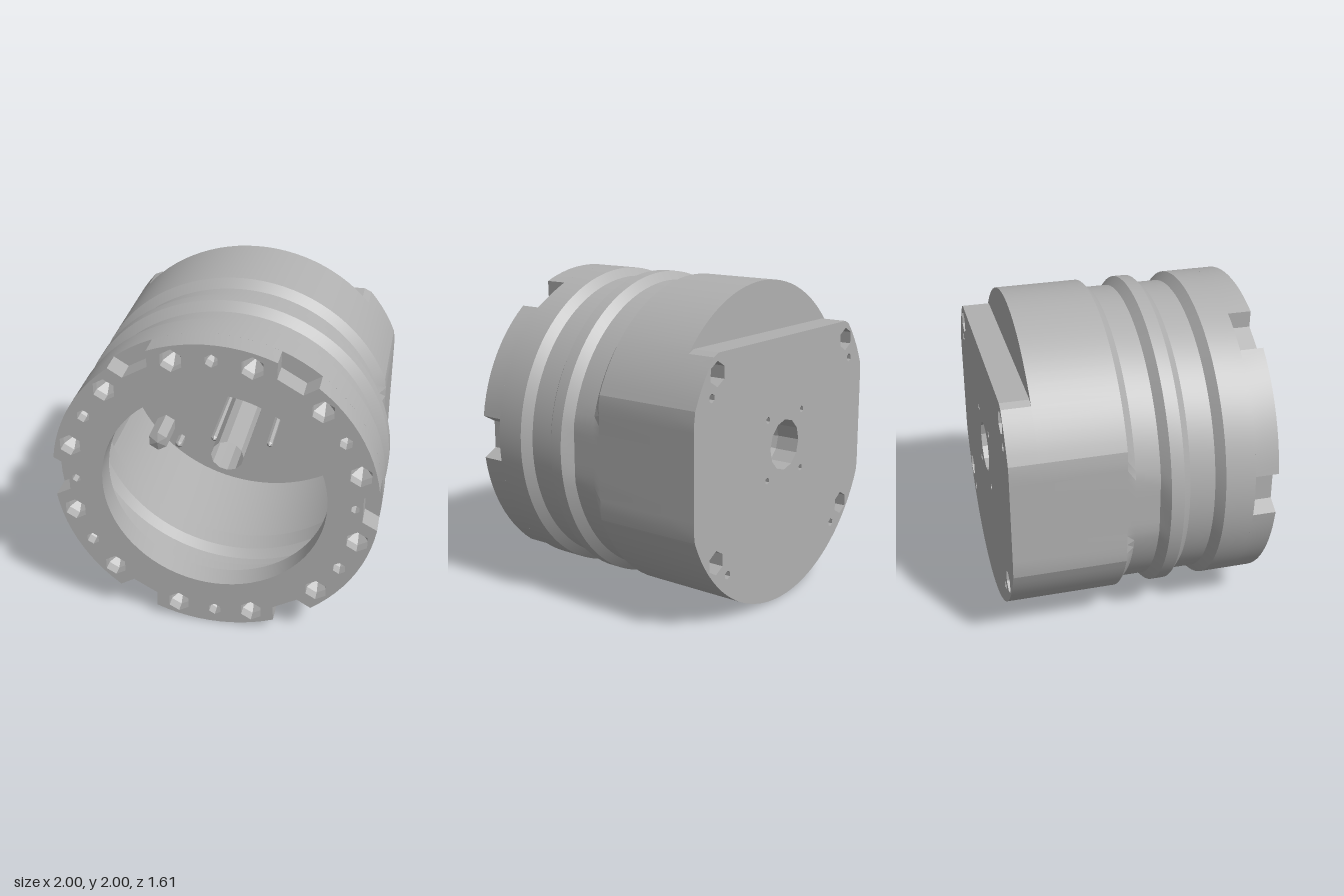
import * as THREE from 'three';
import { toCreasedNormals } from 'three/addons/utils/BufferGeometryUtils.js';

const FLAT_X = 0.933, FLAT_TOP = 0.68, BACK = -0.805, FRONT = 0.805, RIM_BACK = 0.66;
const rad = (d) => (d * Math.PI) / 180;
const polar = (r, d) => new THREE.Vector2(r * Math.cos(rad(d)), r * Math.sin(rad(d)));

// Regular polygon path, used to cut holes
function polygon(c, r, n) {
  const pts = [];
  for (let k = 0; k < n; k++) {
    const p = polar(r, 90 - (360 * k) / n);
    pts.push(new THREE.Vector2(c.x + p.x, c.y + p.y));
  }
  return new THREE.Path(pts);
}

// Body cross-section: a circle trimmed by the side flats and the top flat
function section(r, flatX, flatY, n = 96) {
  const pts = [];
  for (let i = 0; i < n; i++) {
    const p = polar(r, (360 * i) / n);
    pts.push(new THREE.Vector2(
      THREE.MathUtils.clamp(p.x, -flatX, flatX), Math.min(p.y, flatY)));
  }
  return pts;
}

export function createModel() {
  const metal = new THREE.MeshStandardMaterial({ color: 0xb0b0b0, side: THREE.DoubleSide });
  metal.name = 'grey metal';
  const model = new THREE.Group();
  model.name = 'housing';
  const body = new THREE.Group();
  body.name = 'body';
  body.position.y = 1;
  model.add(body);

  function add(name, geometry, x = 0, y = 0, z = 0) {
    const mesh = new THREE.Mesh(toCreasedNormals(geometry, 0.25), metal);
    mesh.name = name;
    mesh.position.set(x, y, z);
    body.add(mesh);
    return mesh;
  }

  // Grooved shell: rows of [z, radius, side flat, top flat]
  const rows = [
    [RIM_BACK, 1, 2, 2], [0.475, 1, 2, 2], [0.425, 0.948, 2, 2], [0.27, 0.948, 2, 2],
    [0.22, 1, 2, 2], [0.14, 1, 2, 2], [0.09, 0.948, FLAT_X, 2], [-0.06, 0.948, FLAT_X, 2],
    [-0.11, 1, FLAT_X, 2], [-0.63, 1, FLAT_X, 2], [-0.63, 1, FLAT_X, FLAT_TOP],
    [BACK, 1, FLAT_X, FLAT_TOP],
  ];
  const n = 96, positions = [], index = [];
  rows.forEach(([z, r, fx, fy]) => section(r, fx, fy, n).forEach((p) => positions.push(p.x, p.y, z)));
  for (let i = 0; i < rows.length - 1; i++) {
    for (let j = 0; j < n; j++) {
      const a = i * n + j, b = i * n + ((j + 1) % n), c = a + n, d = b + n;
      index.push(a, c, b, b, c, d);
    }
  }
  const shell = new THREE.BufferGeometry();
  shell.setAttribute('position', new THREE.Float32BufferAttribute(positions, 3));
  shell.setIndex(index);
  add('groovedShell', shell);

  // Front rim with six notches, the bore and two sizes of hole
  const outline = [];
  for (let k = 0; k < 6; k++) {
    const a = k * 60;
    outline.push(polar(0.905, a - 5.5), polar(0.905, a + 5.5));
    for (let s = 0; s <= 11; s++) outline.push(polar(1, a + 7.8 + (44.4 * s) / 11));
  }
  const rim = new THREE.Shape(outline);
  rim.holes.push(polygon(new THREE.Vector2(), 0.69, 72));
  const holes = [];
  for (let k = 0; k < 12; k++) holes.push([polar(0.908, 15 + 30 * k), 0.072]);
  for (const d of [30, 90, 150, 210, 270, 330]) holes.push([polar(0.9, d), 0.042]);
  for (const d of [0, 180]) holes.push([polar(0.855, d), 0.028]);
  holes.forEach(([c, r]) => rim.holes.push(polygon(c, r, 6)));
  add('frontRim', new THREE.ExtrudeGeometry(rim, { depth: FRONT - RIM_BACK, bevelEnabled: false }),
    0, 0, RIM_BACK);
  add('notchFloor', new THREE.RingGeometry(0.82, 1, 96), 0, 0, RIM_BACK);

  // Pointed bottoms of the rim holes
  holes.forEach(([c, r]) => {
    const cone = new THREE.ConeGeometry(r, 0.07, 6, 1, true).rotateX(-Math.PI / 2);
    add('rimHoleBottom', cone, c.x, c.y, 0.705);
  });

  // Back plate with the centre hole and corner holes
  const plate = new THREE.Shape(section(1, FLAT_X, FLAT_TOP, n).filter(
    (p) => Math.hypot(p.x, p.y) > 0.999 || Math.abs(p.x) === FLAT_X || p.y === FLAT_TOP));
  plate.holes.push(polygon(new THREE.Vector2(), 0.16, 12));
  const wells = [];
  for (const sx of [-1, 1]) {
    for (const sy of [-1, 1]) {
      const small = sy > 0 ? [0.77, 0.43] : [0.6, 0.67];
      wells.push(['cornerWell', sx * 0.717, sy * 0.56, 0.075, 0.275]);
      wells.push(['pinWell', sx * small[0], sy * small[1], 0.028, 0.12]);
      wells.push(['centrePinWell', sx * 0.19, sy * 0.19, 0.022, 0.73]);
    }
  }
  wells.forEach(([, x, y, r]) => plate.holes.push(polygon(new THREE.Vector2(x, y), r, 6)));
  const back = new THREE.ShapeGeometry(plate);
  const order = back.getIndex().array;
  for (let i = 0; i < order.length; i += 3) {
    [order[i], order[i + 1]] = [order[i + 1], order[i]];
  }
  add('backPlate', back, 0, 0, BACK);

  // Blind wells reaching inward from the back plate
  wells.forEach(([name, x, y, r, depth]) => {
    const profile = [[r, 0], [r, depth - 0.02], [0, depth]].map((p) => new THREE.Vector2(...p));
    add(name, new THREE.LatheGeometry(profile, 6).rotateX(Math.PI / 2), x, y, BACK);
  });

  // Tapered open tube through the centre
  const tube = [[0.16, 0], [0.16, 0.15], [0.11, 0.3], [0.105, 1.19]].map((p) => new THREE.Vector2(...p));
  add('centreTube', new THREE.LatheGeometry(tube, 12).rotateX(Math.PI / 2), 0, 0, BACK);

  return model;
}
